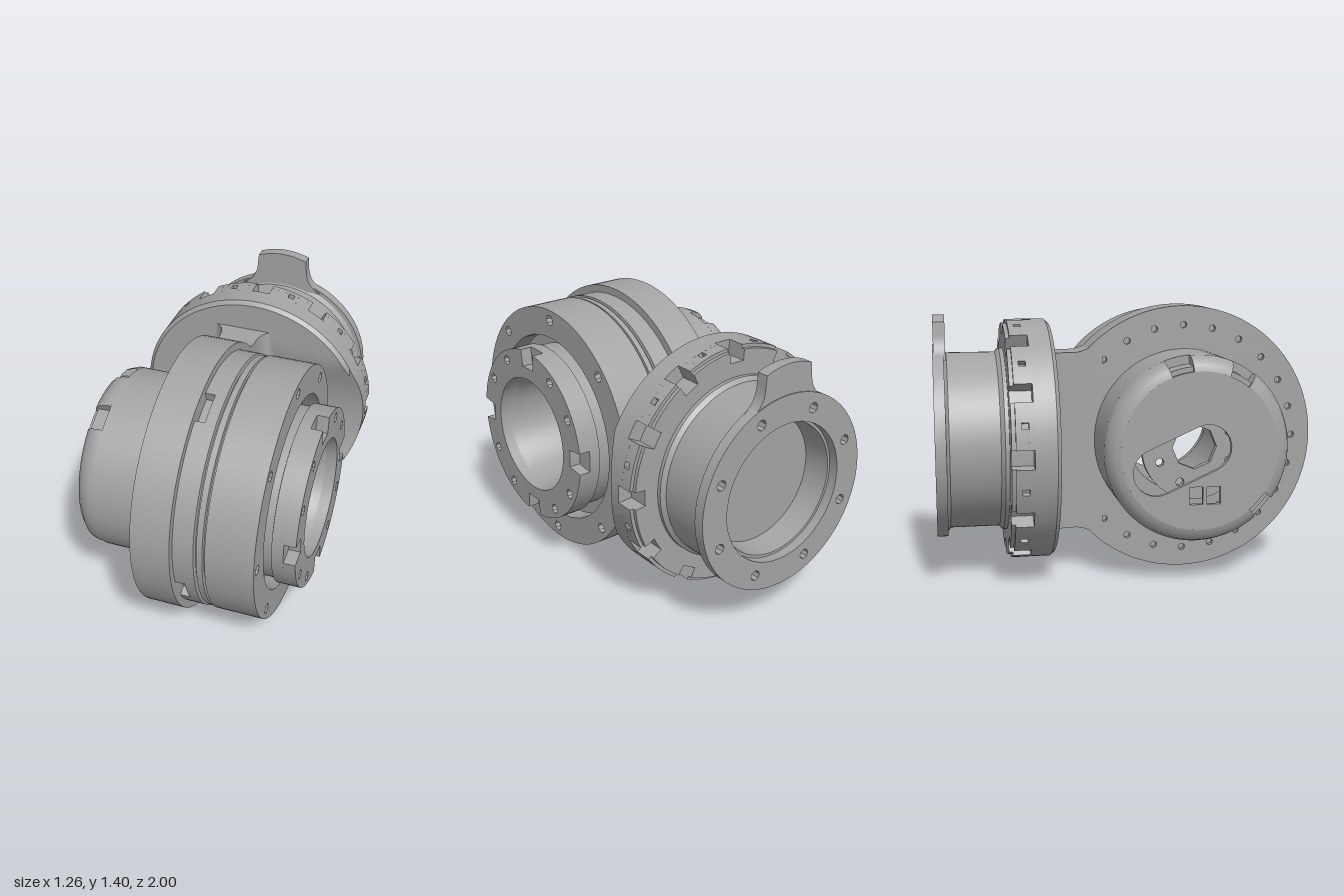
import * as THREE from 'three';
import { toCreasedNormals } from 'three/addons/utils/BufferGeometryUtils.js';

const V = (x, y) => new THREE.Vector2(x, y);
const TAU = Math.PI * 2;
const SEG = 96;

// points along an arc, both ends included
function arc(r, a0, a1, n, cx = 0, cy = 0) {
  return Array.from({ length: n + 1 }, (_, i) => {
    const a = a0 + (a1 - a0) * i / n;
    return V(cx + r * Math.cos(a), cy + r * Math.sin(a));
  });
}
const circle = (r, n, cx, cy) => arc(r, 0, TAU, n, cx, cy).slice(0, n);

// evenly spaced round holes on a bolt circle
const boltHoles = (n, ring, r, start = 0) => Array.from({ length: n }, (_, i) => {
  const a = start + TAU * i / n;
  return circle(r, 8, ring * Math.cos(a), ring * Math.sin(a));
});

// evenly spaced notches in a rim: [angle, half angle, floor radius]
const rimNotches = (n, half, floor, start = 0) =>
  Array.from({ length: n }, (_, i) => [start + TAU * i / n, half, floor]);

// disc with rim notches and holes, extruded along z
function plate(r, z0, z1, holes = [], notches = []) {
  let pts = circle(r, SEG);
  if (notches.length) {
    const list = [...notches].sort((a, b) => a[0] - b[0]);
    pts = [];
    list.forEach(([a, half, floor], i) => {
      const next = i + 1 < list.length ? list[i + 1] : [list[0][0] + TAU, list[0][1]];
      pts.push(...arc(floor, a - half, a + half, 2));
      const from = a + half, to = next[0] - next[1];
      pts.push(...arc(r, from, to, Math.max(2, Math.round((to - from) / TAU * SEG))));
    });
  }
  const shape = new THREE.Shape(pts);
  shape.holes = holes.map(h => new THREE.Path(h));
  const g = new THREE.ExtrudeGeometry(shape, { depth: z1 - z0, bevelEnabled: false });
  return g.translate(0, 0, z0);
}

// [radius, axial] profile; outer walls run towards +axis
const lathe = (profile, start = 0, length = TAU) => new THREE.LatheGeometry(
  profile.map(p => V(p[0], p[1])), Math.max(2, Math.round(SEG * length / TAU)), start, length);
const latheX = (...a) => lathe(...a).rotateZ(-Math.PI / 2);
const latheZ = (...a) => lathe(...a).rotateX(Math.PI / 2);
const plateX = (...a) => plate(...a).rotateY(Math.PI / 2);

export function createModel() {
  const metal = new THREE.MeshStandardMaterial({ color: 0xa3a3a3, side: THREE.DoubleSide });
  metal.name = 'grey metal';
  const model = new THREE.Group();
  model.name = 'jointActuator';
  const add = (group, name, geometry) => {
    const mesh = new THREE.Mesh(toCreasedNormals(geometry, 0.6), metal);
    mesh.name = name;
    group.add(mesh);
  };

  // ---- main drive, axis along x ----
  const drive = new THREE.Group();
  drive.name = 'mainDrive';
  drive.position.set(0, 0.7, 0.3);
  model.add(drive);

  // flange, grooved rings, recess, hub and bore in one profile
  add(drive, 'driveBody', latheX([
    [0.29, -0.12], [0.70, -0.12], [0.70, 0.05], [0.61, 0.05], [0.61, 0.10],
    [0.66, 0.10], [0.66, 0.155], [0.635, 0.158], [0.635, 0.165], [0.655, 0.168],
    [0.655, 0.198], [0.635, 0.2], [0.635, 0.207], [0.66, 0.212], [0.66, 0.415],
    [0.51, 0.415], [0.51, 0.36], [0.445, 0.36], [0.445, 0.475], [0.465, 0.48],
    [0.465, 0.54], [0.31, 0.54], [0.29, 0.5], [0.29, -0.12],
  ]));
  add(drive, 'flangeBackPlate', plateX(0.70, -0.15, -0.12,
    [circle(0.42, 48), ...boltHoles(24, 0.6, 0.018)]));
  add(drive, 'pocketRing', plateX(0.66, 0.05, 0.10,
    [circle(0.6, 64)], rimNotches(4, 0.12, 0.612, Math.PI / 8)));
  add(drive, 'outerRingFace', plateX(0.66, 0.415, 0.455,
    [circle(0.51, 64), ...boltHoles(8, 0.605, 0.028)]));
  add(drive, 'hubFace', plateX(0.465, 0.54, 0.6,
    [circle(0.31, 48), ...boltHoles(12, 0.415, 0.026).filter((_, i) => i % 3)],
    rimNotches(4, 0.125, 0.375)));
  add(drive, 'innerPlate', plateX(0.272, -0.42, -0.38,
    [circle(0.115, 8), ...boltHoles(8, 0.195, 0.022, Math.PI / 8)]));

  // motor cap with three pockets in its rounded edge
  add(drive, 'motorCap', latheX([
    [0.43, -0.45], [0.475, -0.45], [0.475, -0.13], [0.43, -0.13], [0.43, -0.45],
  ]));
  add(drive, 'capInnerRim', latheX([[0.395, -0.53], [0.425, -0.53], [0.43, -0.45]]));
  const rim = [[0.395, -0.53], [0.40, -0.55], [0.43, -0.542], [0.46, -0.515], [0.475, -0.475], [0.475, -0.45]];
  const pockets = [-1.8, -1.05, 0.73], half = 0.14;
  pockets.forEach((p, i) => {
    const end = (i < 2 ? pockets[i + 1] : pockets[0] + TAU) - half;
    add(drive, 'capRim', latheX(rim, p + half, end - p - half));
    // pocket side walls
    for (const a of [p - half, p + half]) {
      const wall = new THREE.ShapeGeometry(new THREE.Shape(
        [...rim, [0.43, -0.45]].map(q => V(q[0], q[1]))));
      add(drive, 'capPocketWall', wall.rotateY(a - Math.PI / 2).rotateZ(-Math.PI / 2));
    }
  });

  // cap end with a slanted slot and two small windows
  const slotAngle = Math.atan2(-0.14, 0.31);
  const slot = [
    ...arc(0.12, slotAngle - Math.PI / 2, slotAngle + Math.PI / 2, 10, 0.22, -0.1),
    ...arc(0.12, slotAngle + Math.PI / 2, slotAngle + Math.PI * 1.5, 10, -0.04, 0.015),
  ];
  const windows = [0.02, -0.07].map(u =>
    [V(u - 0.035, -0.27), V(u + 0.035, -0.27), V(u + 0.035, -0.18), V(u - 0.035, -0.18)]);
  add(drive, 'capEnd', plateX(0.40, -0.55, -0.525, [slot, ...windows]));

  // ---- rear joint, axis along z ----
  const joint = new THREE.Group();
  joint.name = 'rearJoint';
  joint.position.y = 0.7;
  model.add(joint);

  // socket, neck and ring; the ring front is scooped to clear the drive
  const frontFace = Array.from({ length: 9 }, (_, i) => [0.61 * (1 - i / 8), -0.40]);
  const body = latheZ([
    [0, -0.81], [0.335, -0.81], [0.345, -0.95], [0.46, -0.95], [0.46, -0.68],
    [0.48, -0.66], [0.48, -0.64], [0.55, -0.64], [0.55, -0.53], [0.63, -0.53],
    [0.63, -0.42], ...frontFace,
  ]);
  const p = body.attributes.position;
  for (let i = 0; i < p.count; i++) {
    const y = p.getY(i);
    if (p.getX(i) < 0.06 || p.getZ(i) < -0.5) continue;
    p.setZ(i, Math.min(p.getZ(i), 0.3 - Math.sqrt(0.593 - y * y < 0 ? 0 : 0.593 - y * y)));
  }
  add(joint, 'jointBody', body);

  // notched rim in layers, with small slots between the notches
  const big = rimNotches(12, 0.075, 0.555);
  const small = rimNotches(12, 0.025, 0.6, Math.PI / 12);
  const core = [circle(0.54, 64)];
  add(joint, 'notchedRim', plate(0.63, -0.555, -0.53, core, big));
  add(joint, 'slottedRim', plate(0.63, -0.59, -0.555, core, [...big, ...small]));
  add(joint, 'notchedRim', plate(0.63, -0.62, -0.59, core, big));
  add(joint, 'notchedRimEdge', plate(0.612, -0.64, -0.62, core, big));

  // end flange with bolt holes and an upright tab
  add(joint, 'flangeChamfer', latheZ([[0.37, -0.95], [0.49, -0.95], [0.46, -0.93]]));
  add(joint, 'endFlange', plate(0.505, -1, -0.945,
    [circle(0.36, 48), ...boltHoles(8, 0.43, 0.027, Math.PI / 8)]));
  const tab = new THREE.Shape();
  tab.moveTo(-0.23, 0.44);
  tab.quadraticCurveTo(-0.15, 0.48, -0.145, 0.57);
  tab.lineTo(-0.14, 0.63);
  tab.quadraticCurveTo(0, 0.685, 0.14, 0.63);
  tab.lineTo(0.145, 0.57);
  tab.quadraticCurveTo(0.15, 0.48, 0.23, 0.44);
  add(joint, 'flangeTab', new THREE.ExtrudeGeometry(tab, { depth: 0.06, bevelEnabled: false })
    .translate(0, 0, -0.995));

  // bridge joining the drive flange to the ring
  const side = new THREE.Shape();
  side.moveTo(0.13, 0.54);
  side.quadraticCurveTo(0.2, 0.472, 0.27, 0.465);
  side.lineTo(0.5, 0.465);
  side.lineTo(0.5, -0.465);
  side.lineTo(0.27, -0.465);
  side.quadraticCurveTo(0.2, -0.472, 0.13, -0.54);
  add(joint, 'bridge', new THREE.ExtrudeGeometry(side, { depth: 0.2, bevelEnabled: false })
    .rotateY(Math.PI / 2).translate(-0.15, 0, 0));
  const flare = new THREE.Shape();
  flare.moveTo(-0.15, 0.28);
  flare.quadraticCurveTo(-0.15, 0.395, -0.23, 0.405);
  flare.lineTo(-0.23, 0.5);
  flare.lineTo(0.12, 0.5);
  flare.lineTo(0.12, 0.405);
  flare.quadraticCurveTo(0.05, 0.395, 0.05, 0.28);
  add(joint, 'bridgeFlare', new THREE.ExtrudeGeometry(flare, { depth: 0.93, bevelEnabled: false })
    .rotateX(-Math.PI / 2).translate(0, -0.465, 0));

  return model;
}
